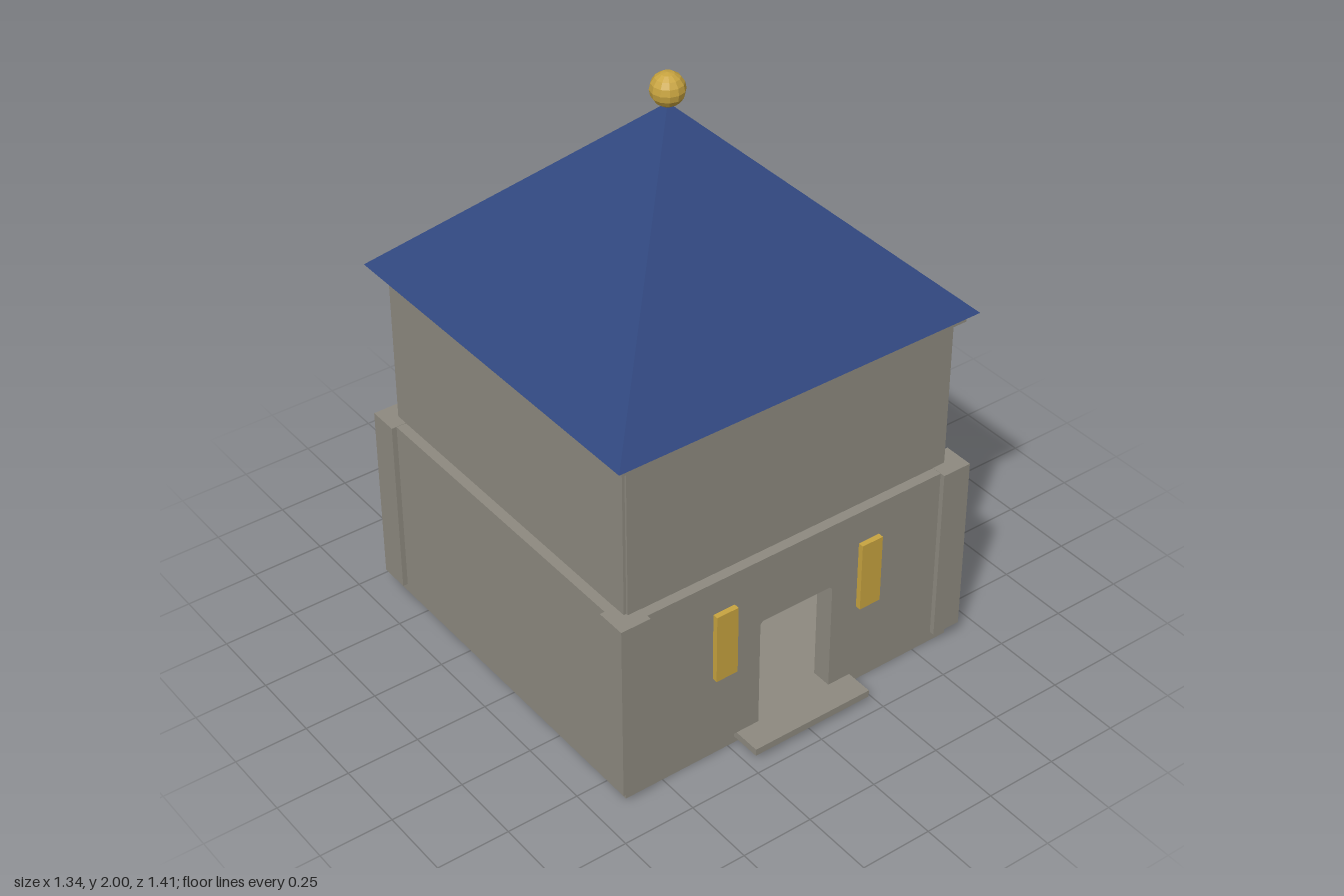
import * as THREE from 'three';

const stone = new THREE.MeshStandardMaterial({ color: 0x8e8a80 });
stone.name = 'stone';
const roofBlue = new THREE.MeshStandardMaterial({ color: 0x2f467e });
roofBlue.name = 'roofBlue';
const gold = new THREE.MeshStandardMaterial({ color: 0xc8a440 });
gold.name = 'gold';

function add(parent, name, geometry, material, x = 0, y = 0, z = 0) {
  const mesh = new THREE.Mesh(geometry, material);
  mesh.name = name;
  mesh.position.set(x, y, z);
  parent.add(mesh);
  return mesh;
}

// Box given by its width, depth, bottom and top
function block(parent, name, material, w, d, y0, y1, x = 0, z = 0) {
  return add(parent, name, new THREE.BoxGeometry(w, y1 - y0, d), material, x, (y0 + y1) / 2, z);
}

export function createModel() {
  const model = new THREE.Group();
  model.name = 'tower';
  const tower = new THREE.Group();
  tower.name = 'towerBody';
  tower.position.z = -0.04; // the doorstep shifts the body back
  model.add(tower);

  // Foundation and doorstep
  block(tower, 'foundation', stone, 1.275, 1.275, 0, 0.05);
  block(tower, 'doorstep', stone, 0.45, 0.15, 0.025, 0.05, 0, 0.672);

  // Lower storey: hollow, with an open doorway in the front wall
  const out = 0.65, thick = 0.07, y0 = 0.05, y1 = 0.69;
  const front = new THREE.Shape();
  [
    [-out, y0], [-0.14, y0], [-0.14, 0.44], [-0.13, 0.45], [0.13, 0.45], [0.14, 0.44],
    [0.14, y0], [out, y0], [out, y1], [-out, y1],
  ].forEach(([x, y], i) => (i ? front.lineTo(x, y) : front.moveTo(x, y)));
  add(tower, 'lowerFrontWall',
    new THREE.ExtrudeGeometry(front, { depth: thick, bevelEnabled: false }), stone, 0, 0, out - thick);
  block(tower, 'lowerBackWall', stone, 2 * out, thick, y0, y1, 0, -out + thick / 2);
  for (const s of [-1, 1]) {
    block(tower, 'lowerSideWall', stone, thick, 2 * (out - thick), y0, y1, s * (out - thick / 2));
    // Corner piers
    for (const t of [-1, 1]) {
      block(tower, 'cornerPier', stone, 0.105, 0.105, y0, y1 + 0.001, s * 0.615, t * 0.615);
    }
    // Lit windows
    block(tower, 'window', gold, 0.08, 0.03, 0.32, 0.57, s * 0.28, 0.654);
  }

  // Upper storey, with slightly notched corners
  for (const s of [-1, 1]) {
    block(tower, 'upperFrontBackWall', stone, 1.212, 0.09, 0.66, 1.22, 0, s * 0.57);
    block(tower, 'upperSideWall', stone, 0.09, 1.215, 0.66, 1.22, s * 0.57);
  }

  // Cornice
  block(tower, 'cornice', stone, 1.275, 1.275, 1.22, 1.254);

  // Pyramid roof
  const roof = new THREE.ConeGeometry(0.665 * Math.SQRT2, 0.645, 4, 1).toNonIndexed();
  roof.rotateY(Math.PI / 4);
  roof.computeVertexNormals();
  add(tower, 'roof', roof, roofBlue, 0, 1.255 + 0.3225, 0);

  // Faceted finial ball
  const ball = new THREE.SphereGeometry(0.055, 12, 8).toNonIndexed();
  ball.computeVertexNormals();
  add(tower, 'finial', ball, gold, 0, 1.945, 0);

  return model;
}
